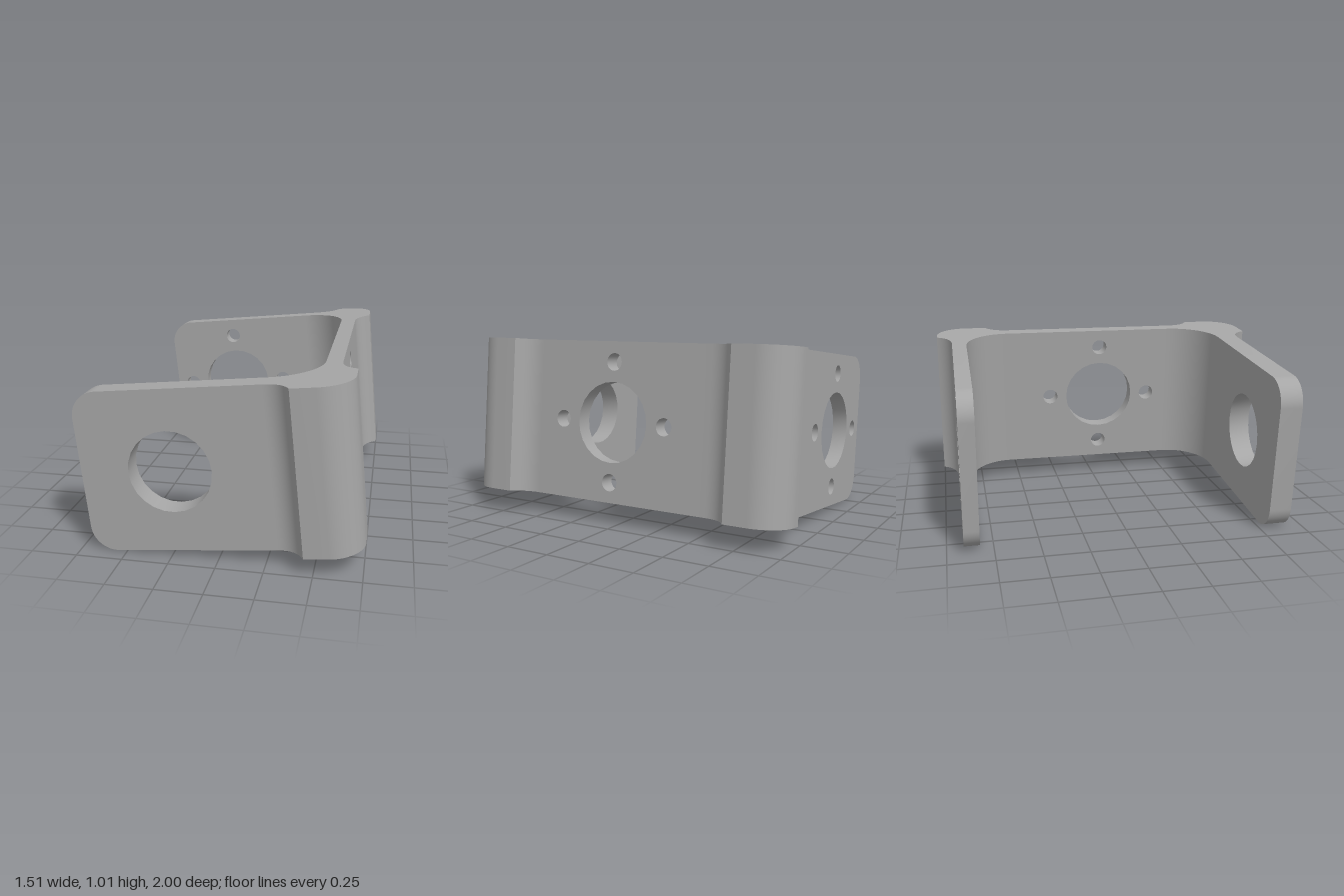
import * as THREE from 'three';
import { toCreasedNormals } from 'three/addons/utils/BufferGeometryUtils.js';

const H = 0.884;          // bracket height
const MID = H / 2;        // height of the hole centres
const JOIN = -0.47;       // where flanges meet the corners
const WEB_IN = -0.175, WEB_OUT = -0.085, WEB_HALF = 0.5;

function extrude(shape, depth) {
  return new THREE.ExtrudeGeometry(shape, { depth, bevelEnabled: false, curveSegments: 12 });
}

function drill(shape, x, y, r) {
  shape.holes.push(new THREE.Path().absarc(x, y, r, 0, Math.PI * 2, true));
}

// Large bore, optionally ringed by four bolt holes
function borePattern(shape, x, bolts) {
  drill(shape, x, MID, 0.222);
  if (!bolts) return;
  for (const [dx, dy] of [[1, 0], [-1, 0], [0, 1], [0, -1]]) {
    drill(shape, x + dx * 0.33, MID + dy * 0.33, 0.048);
  }
}

// Side arm with two rounded free corners
function flangeGeometry(end, zMin, zMax, bolts) {
  const r = 0.14;
  const s = new THREE.Shape();
  s.moveTo(JOIN, 0);
  s.lineTo(JOIN, H);
  s.lineTo(end + r, H);
  s.absarc(end + r, H - r, r, Math.PI / 2, Math.PI, false);
  s.absarc(end + r, r, r, Math.PI, Math.PI * 1.5, false);
  s.closePath();
  borePattern(s, -0.9665, bolts);
  return extrude(s, zMax - zMin).translate(0, 0, zMin);
}

// Thick filleted corner, swept along the height; side is +1 front, -1 back
function cornerGeometry(side, zIn, zOut, lip, run) {
  const R = 0.265, r = 0.18;
  const p = new THREE.Shape();
  p.moveTo(JOIN, zIn);
  p.lineTo(WEB_IN - R, zIn);
  p.absarc(WEB_IN - R, zIn - R, R, Math.PI / 2, 0, true);
  p.lineTo(WEB_IN, WEB_HALF);
  p.lineTo(WEB_OUT, WEB_HALF);
  p.lineTo(WEB_OUT, 0.545);
  p.quadraticCurveTo(WEB_OUT, 0.645, 0, 0.69);
  p.lineTo(0, 1 - r);
  p.absarc(-r, 1 - r, r, 0, Math.PI / 2, false);
  p.lineTo(lip, 1);
  p.quadraticCurveTo(lip - 0.04, zOut, lip - run, zOut);
  p.lineTo(JOIN, zOut);
  const pts = p.getPoints(12).map((q) => new THREE.Vector2(q.x, q.y * side));
  return extrude(new THREE.Shape(pts), H).rotateX(Math.PI / 2).translate(0, H, 0);
}

// Flat middle plate joining the two corners
function webGeometry() {
  const s = new THREE.Shape();
  s.moveTo(-WEB_HALF, 0);
  s.lineTo(WEB_HALF, 0);
  s.lineTo(WEB_HALF, H);
  s.lineTo(-WEB_HALF, H);
  s.closePath();
  borePattern(s, -0.05, true);
  return extrude(s, WEB_OUT - WEB_IN).rotateY(Math.PI / 2).translate(WEB_IN, 0, 0);
}

export function createModel() {
  const metal = new THREE.MeshStandardMaterial({ color: 0xa6a6a6 });
  metal.name = 'grey metal';
  const bracket = new THREE.Group();
  bracket.name = 'bracket';

  const parts = {
    frontFlange: flangeGeometry(-1.445, 0.78, 0.907, false),
    backFlange: flangeGeometry(-1.405, -0.91, -0.825, true),
    frontCorner: cornerGeometry(1, 0.78, 0.907, -0.305, 0.14),
    backCorner: cornerGeometry(-1, 0.825, 0.91, -0.22, 0.16),
    web: webGeometry(),
  };
  for (const [name, geometry] of Object.entries(parts)) {
    const mesh = new THREE.Mesh(toCreasedNormals(geometry, 0.6), metal);
    mesh.name = name;
    bracket.add(mesh);
  }

  // The whole bracket leans slightly
  bracket.rotation.z = THREE.MathUtils.degToRad(5.6);
  bracket.position.set(0.755, 0.13, 0);

  const model = new THREE.Group();
  model.name = 'mountingBracket';
  model.add(bracket);
  return model;
}
